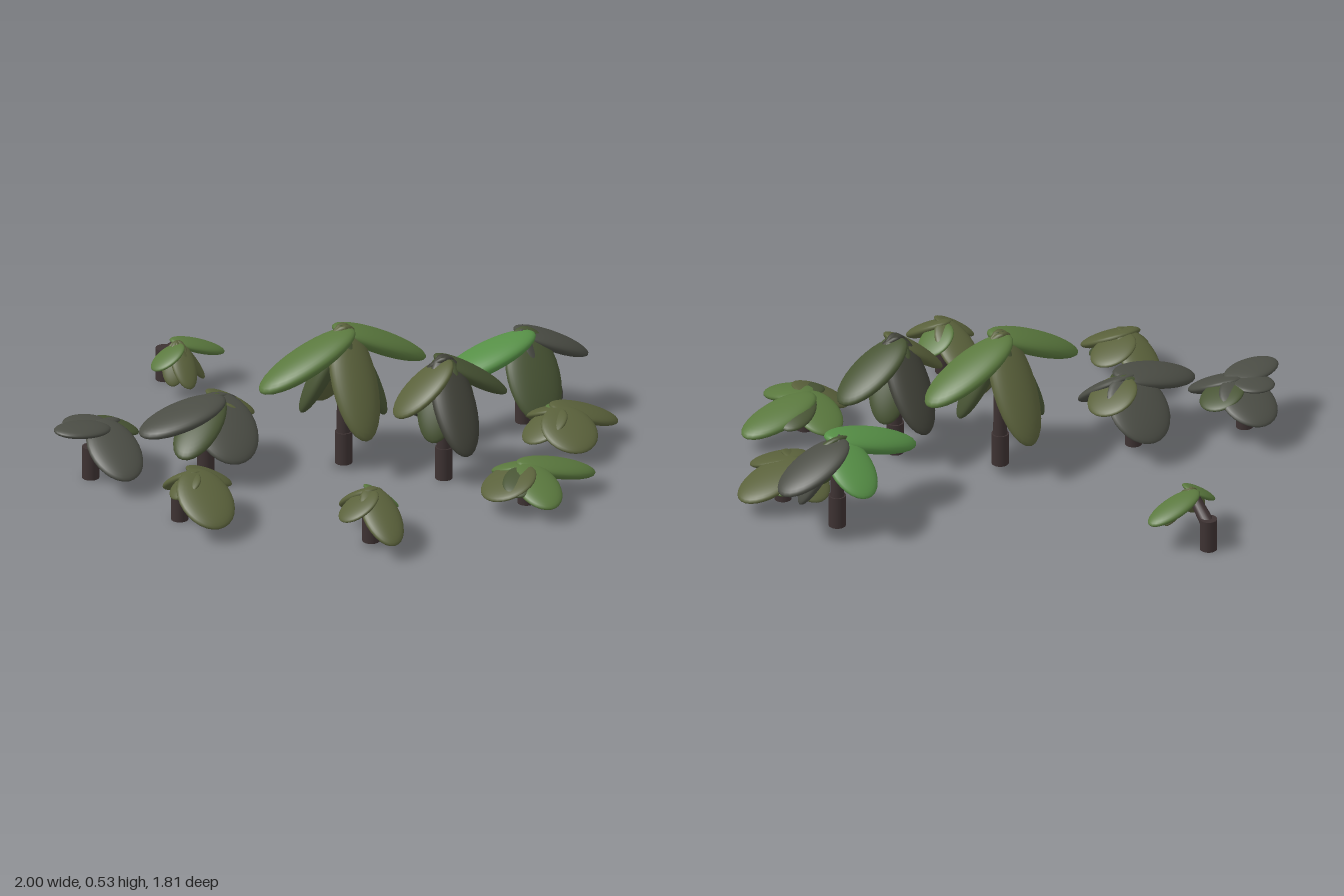
import * as THREE from 'three';

const material = (color) => new THREE.MeshStandardMaterial({ color });
const bark = material(0x3d3232);
const tint = {
  olive: material(0x5a613b),
  moss: material(0x485434),
  green: material(0x5a783e),
  bright: material(0x568f46),
  grey: material(0x4b4d45),
  dark: material(0x3f4037),
};
const pick = (list, i) => list[i % list.length];

// Flattened ellipsoid from root to tip, broad side kept level
function makeLeaf(root, tip, width, color, name) {
  const along = tip.clone().sub(root);
  const length = along.length();
  along.normalize();
  const across = new THREE.Vector3(0, 1, 0).cross(along).normalize();
  const up = along.clone().cross(across);
  const leaf = new THREE.Mesh(new THREE.SphereGeometry(0.5, 28, 18), tint[color]);
  leaf.name = name;
  leaf.quaternion.setFromRotationMatrix(new THREE.Matrix4().makeBasis(across, up, along));
  leaf.scale.set(width, Math.max(0.03, length * 0.2), length);
  leaf.position.copy(root).add(tip).multiplyScalar(0.5);
  return leaf;
}

// Round post between two points
function makePost(from, to, r0, r1, name) {
  const dir = to.clone().sub(from);
  const post = new THREE.Mesh(new THREE.CylinderGeometry(r1, r0, dir.length(), 16), bark);
  post.name = name;
  post.position.copy(from).add(to).multiplyScalar(0.5);
  post.quaternion.setFromUnitVectors(new THREE.Vector3(0, 1, 0), dir.normalize());
  return post;
}

// Leaf order is left (+x), front, right, back; shorter lists repeat around the crown.
// "inner" lists the gaps that hold a smaller leaf, gap n following leaf n.
function makePlant({ name, crown, lean = [0, 0], reach, tipY, width, colors,
  inner, innerColor, innerReach = 0.55, innerY = Math.min(...tipY) + 0.03 }) {
  const plant = new THREE.Group();
  plant.name = name;
  const top = new THREE.Vector3(...crown);
  const foot = new THREE.Vector3(crown[0] + lean[0], 0, crown[2] + lean[1]);
  const joint = foot.clone().setY(0.12);
  const start = foot.clone().setY(0.095);
  plant.add(makePost(foot, joint, 0.031, 0.031, 'lowerTrunk'));
  plant.add(makePost(start, top.clone().lerp(start, 0.12), 0.026, 0.02, 'upperTrunk'));

  // Leaf roots overlap slightly past the crown
  const addLeaf = (root, tip, w, color, label) =>
    plant.add(makeLeaf(root.clone().lerp(tip, -0.09), tip, w, color, label));

  // Main leaves, the side pair passing each other either side of the crown
  const tips = reach.map((r, i) => {
    const angle = (i * Math.PI) / 2;
    const root = top.clone();
    root.z -= 0.025 * Math.cos(angle);
    const tip = new THREE.Vector3(
      root.x + r * Math.cos(angle), pick(tipY, i), root.z + r * Math.sin(angle));
    addLeaf(root, tip, pick(width, i), pick(colors, i), 'leaf');
    return tip;
  });

  // Smaller, lower leaves between neighbouring main leaves
  for (const gap of inner) {
    const tip = tips[gap].clone().add(pick(tips, gap + 1)).sub(top).sub(top)
      .multiplyScalar(innerReach).add(top).setY(innerY);
    addLeaf(top, tip, width[0] * 0.85, innerColor, 'innerLeaf');
  }
  return plant;
}

const plants = [
  { name: 'tallPlant', crown: [0.015, 0.5, 0.04], reach: [0.325, 0.2, 0.335, 0.2],
    tipY: [0.34, 0.16], width: [0.18, 0.17], colors: ['green', 'olive'],
    inner: [0, 2], innerColor: 'moss', innerReach: 0.4 },
  { name: 'darkPlant', crown: [0.28, 0.445, 0.31], reach: [0.25, 0.2, 0.2, 0.2],
    tipY: [0.28, 0.16], width: [0.18, 0.16], colors: ['moss', 'dark', 'olive', 'dark'],
    inner: [1, 3], innerColor: 'moss', innerReach: 0.45 },
  { name: 'brightPlant', crown: [0.74, 0.335, -0.02], reach: [0.255, 0.18, 0.34, 0.2],
    tipY: [0.21, 0.06, 0.22, 0.2], width: [0.18, 0.2, 0.18, 0.17],
    colors: ['grey', 'moss', 'bright', 'bright'],
    inner: [0], innerColor: 'grey', innerReach: 0.45 },
  { name: 'lowLeftPlant', crown: [0.755, 0.145, 0.245], lean: [0.04, 0],
    reach: [0.235, 0.195, 0.145, 0.185], tipY: [0.06], width: [0.18, 0.2, 0.17, 0.16],
    colors: ['olive'], inner: [3], innerColor: 'green' },
  { name: 'lowFrontPlant', crown: [0.455, 0.135, 0.625], reach: [0.275, 0.215, 0.175, 0.185],
    tipY: [0.06], width: [0.16, 0.16, 0.22, 0.17], colors: ['green', 'green', 'olive', 'green'],
    inner: [1, 3], innerColor: 'moss' },
  { name: 'narrowPlant', crown: [-0.18, 0.19, 0.7], reach: [0.11, 0.2, 0.13, 0.19],
    tipY: [0.11, 0.06], width: [0.14], colors: ['green', 'olive', 'olive', 'olive'],
    inner: [], innerColor: 'moss' },
  { name: 'rightPlant', crown: [-0.68, 0.185, 0.295], lean: [-0.035, -0.045],
    reach: [0.15, 0.215, 0.1, 0.185], tipY: [0.12, 0.06], width: [0.16, 0.2, 0.12, 0.14],
    colors: ['olive'], inner: [0], innerColor: 'moss' },
  { name: 'broadPlant', crown: [-0.42, 0.27, -0.1], lean: [-0.035, 0],
    reach: [0.155, 0.21, 0.3, 0.19], tipY: [0.19, 0.1], width: [0.19, 0.23],
    colors: ['olive', 'grey', 'grey', 'grey'], inner: [1], innerColor: 'moss',
    innerReach: 0.65 },
  { name: 'backRightPlant', crown: [-0.805, 0.195, -0.21], lean: [-0.045, 0],
    reach: [0.145, 0.23, 0.195, 0.205], tipY: [0.14, 0.07, 0.21, 0.11],
    width: [0.16, 0.19, 0.14, 0.2], colors: ['moss', 'grey', 'grey', 'grey'],
    inner: [2], innerColor: 'grey', innerY: 0.19 },
  { name: 'leaningPlant', crown: [-0.26, 0.18, -0.765], lean: [0, -0.115],
    reach: [0.19, 0.11, 0.11], tipY: [0.11, 0.05], width: [0.11, 0.09],
    colors: ['green', 'olive'], inner: [0, 1], innerColor: 'olive', innerReach: 0.45,
    innerY: 0.05 },
];

export function createModel() {
  const model = new THREE.Group();
  model.name = 'plantCluster';
  for (const plant of plants) model.add(makePlant(plant));
  return model;
}
